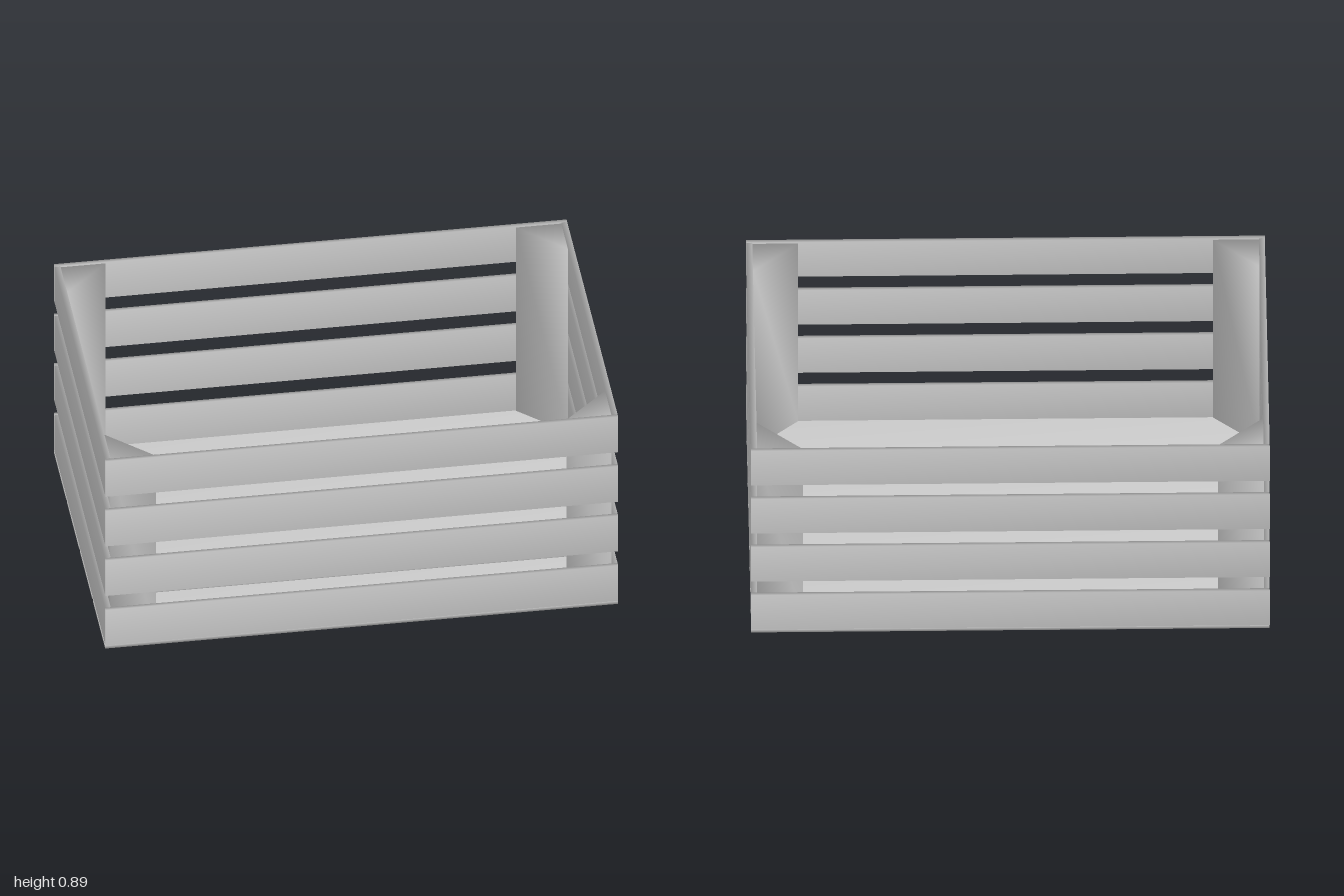
import * as THREE from 'three';
import { mergeVertices } from 'three/addons/utils/BufferGeometryUtils.js';

const material = new THREE.MeshStandardMaterial({ color: 0xcccccc });

// Share corner vertices so the shading rolls softly over each board
function soften(geometry) {
  geometry.deleteAttribute('normal');
  geometry.deleteAttribute('uv');
  const merged = mergeVertices(geometry, 1e-4);
  merged.computeVertexNormals();
  return merged;
}

function board(name, w, h, d, x, y, z) {
  const mesh = new THREE.Mesh(soften(new THREE.BoxGeometry(w, h, d)), material);
  mesh.name = name;
  mesh.position.set(x, y, z);
  return mesh;
}

// Triangular post filling one corner of the crate
function cornerPost(sx, sz) {
  const shape = new THREE.Shape([
    new THREE.Vector2(sx * 0.977, -sz * 0.65),
    new THREE.Vector2(sx * 0.8, -sz * 0.65),
    new THREE.Vector2(sx * 0.977, -sz * 0.48),
  ]);
  const geometry = new THREE.ExtrudeGeometry(shape, { depth: 0.865, bevelEnabled: false });
  geometry.rotateX(-Math.PI / 2);
  const mesh = new THREE.Mesh(soften(geometry), material);
  mesh.name = 'cornerPost';
  mesh.position.y = 0.018;
  return mesh;
}

export function createModel() {
  const crate = new THREE.Group();
  crate.name = 'slattedCrate';

  // Floor planks
  for (let i = 0; i < 4; i++) {
    crate.add(board('floorPlank', 2, 0.018, 0.317, 0, 0.009, -0.501 + i * 0.334));
  }

  // Four rows of wall slats
  for (let row = 0; row < 4; row++) {
    const y = 0.103 + row * 0.234;
    for (const s of [1, -1]) {
      crate.add(board(s > 0 ? 'frontSlat' : 'backSlat', 2, 0.167, 0.017, 0, y, s * 0.6585));
      crate.add(board(s > 0 ? 'leftSlat' : 'rightSlat', 0.023, 0.167, 1.3, s * 0.9885, y, 0));
    }
  }

  // Corner posts
  for (const sx of [1, -1]) {
    for (const sz of [1, -1]) crate.add(cornerPost(sx, sz));
  }

  return crate;
}
